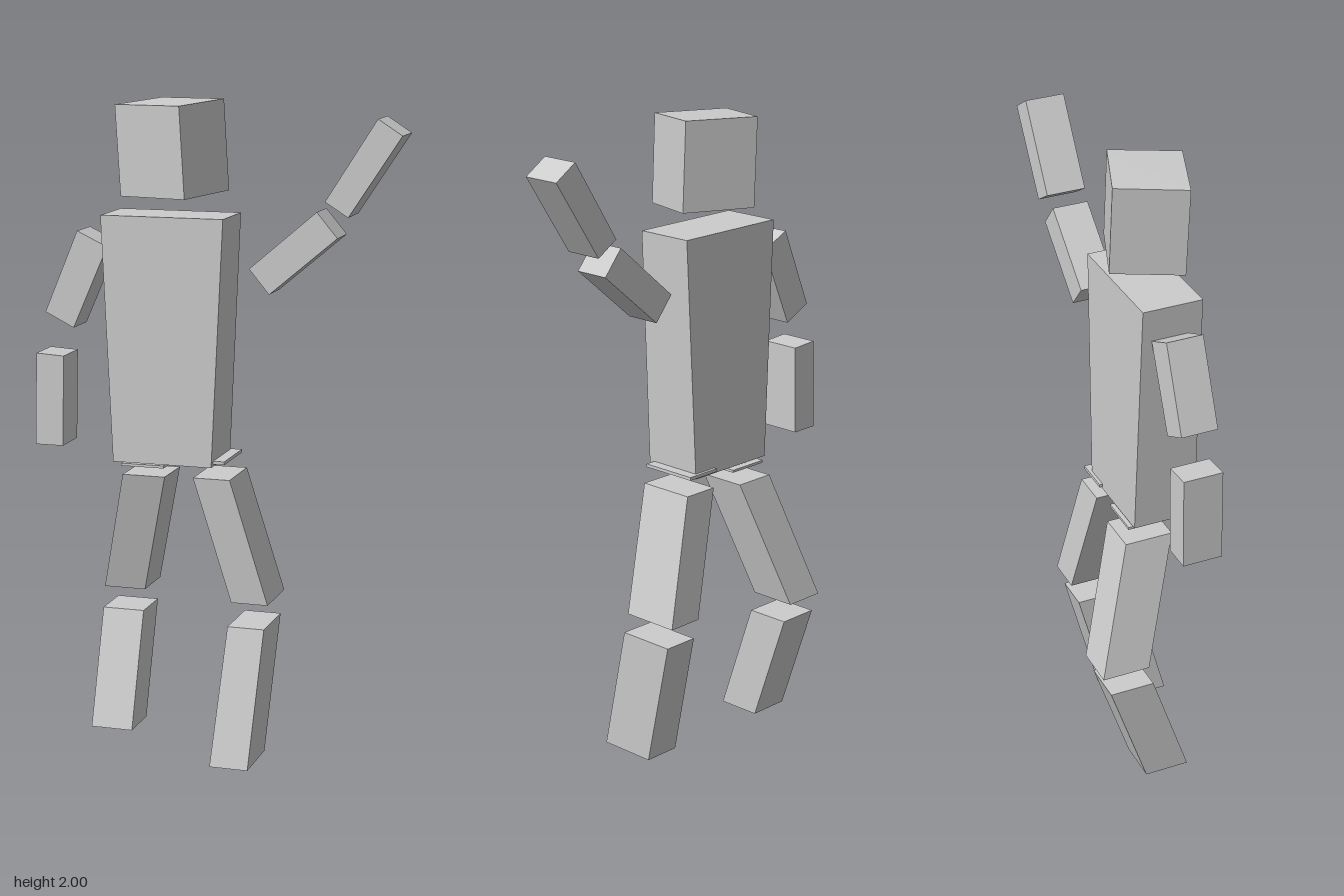
import * as THREE from 'three';

const material = new THREE.MeshStandardMaterial({ color: 0xcccccc, flatShading: true });

// A box whose eight corners are moved by corner(right, up, front) -> [x, y, z]
function block(name, corner) {
  const geometry = new THREE.BoxGeometry(1, 1, 1);
  const p = geometry.attributes.position;
  for (let i = 0; i < p.count; i++) {
    p.setXYZ(i, ...corner(p.getX(i) > 0, p.getY(i) > 0, p.getZ(i) > 0));
  }
  geometry.computeVertexNormals();
  const mesh = new THREE.Mesh(geometry, material);
  mesh.name = name;
  return mesh;
}

// Block between two level rectangles [y, x0, x1, z0, z1]
function slanted(name, bottom, top) {
  return block(name, (right, up, front) => {
    const [y, x0, x1, z0, z1] = up ? top : bottom;
    return [right ? x1 : x0, y, front ? z1 : z0];
  });
}

// Block with a four-cornered front outline (bl, br, tr, tl) and a straight depth
function swung(name, [bl, br, tr, tl], z0, z1) {
  return block(name, (right, up, front) => {
    const [x, y] = up ? (right ? tr : tl) : (right ? br : bl);
    return [x, y, front ? z1 : z0];
  });
}

export function createModel() {
  const model = new THREE.Group();
  model.name = 'blockFigure';

  // Head, turned and slightly tilted
  model.add(block('head', (right, up, front) => {
    const [x, y, z] = front
      ? (right ? [-0.07, 1.99, 0.188] : [-0.295, 1.985, 0.106])
      : (right ? [0.005, 2.0, -0.012] : [-0.215, 1.995, -0.094]);
    return up ? [x, y, z] : [x + 0.015, y - 0.27, z - 0.003];
  }));

  // Tapered torso and thin hip plates
  model.add(
    slanted('torso', [0.915, -0.3, 0.01, -0.06, 0.135], [1.66, -0.335, 0.045, -0.055, 0.13]),
    slanted('rightHipPlate', [0.9, -0.28, -0.145, -0.07, 0.12], [0.908, -0.28, -0.145, -0.07, 0.12]),
    slanted('leftHipPlate', [0.922, -0.07, 0.045, -0.07, 0.115], [0.932, -0.07, 0.045, -0.07, 0.115]),
  );

  // Legs in mid-stride
  model.add(
    slanted('rightThigh', [0.465, -0.4, -0.267, -0.205, -0.055], [0.86, -0.295, -0.16, -0.085, 0.065]),
    slanted('rightShin', [0.045, -0.4, -0.267, -0.06, 0.08], [0.4, -0.4, -0.267, -0.18, -0.04]),
    slanted('leftThigh', [0.485, 0.055, 0.17, -0.113, 0.075], [0.875, -0.055, 0.06, -0.073, 0.11]),
    slanted('leftShin', [0, 0.025, 0.145, 0.015, 0.203], [0.415, 0.05, 0.165, -0.09, 0.097]),
  );

  // Right arm hanging, left arm raised
  model.add(
    swung('rightUpperArm', [[-0.53, 1.355], [-0.44, 1.31], [-0.33, 1.56], [-0.425, 1.605]], -0.025, 0.088),
    swung('rightForearm', [[-0.567, 0.943], [-0.478, 0.943], [-0.472, 1.222], [-0.56, 1.227]], -0.03, 0.093),
    swung('leftUpperArm', [[0.105, 1.508], [0.167, 1.434], [0.373, 1.608], [0.31, 1.683]], -0.05, 0.062),
    swung('leftForearm', [[0.335, 1.714], [0.405, 1.67], [0.563, 1.91], [0.49, 1.957]], -0.057, 0.065),
  );

  return model;
}
